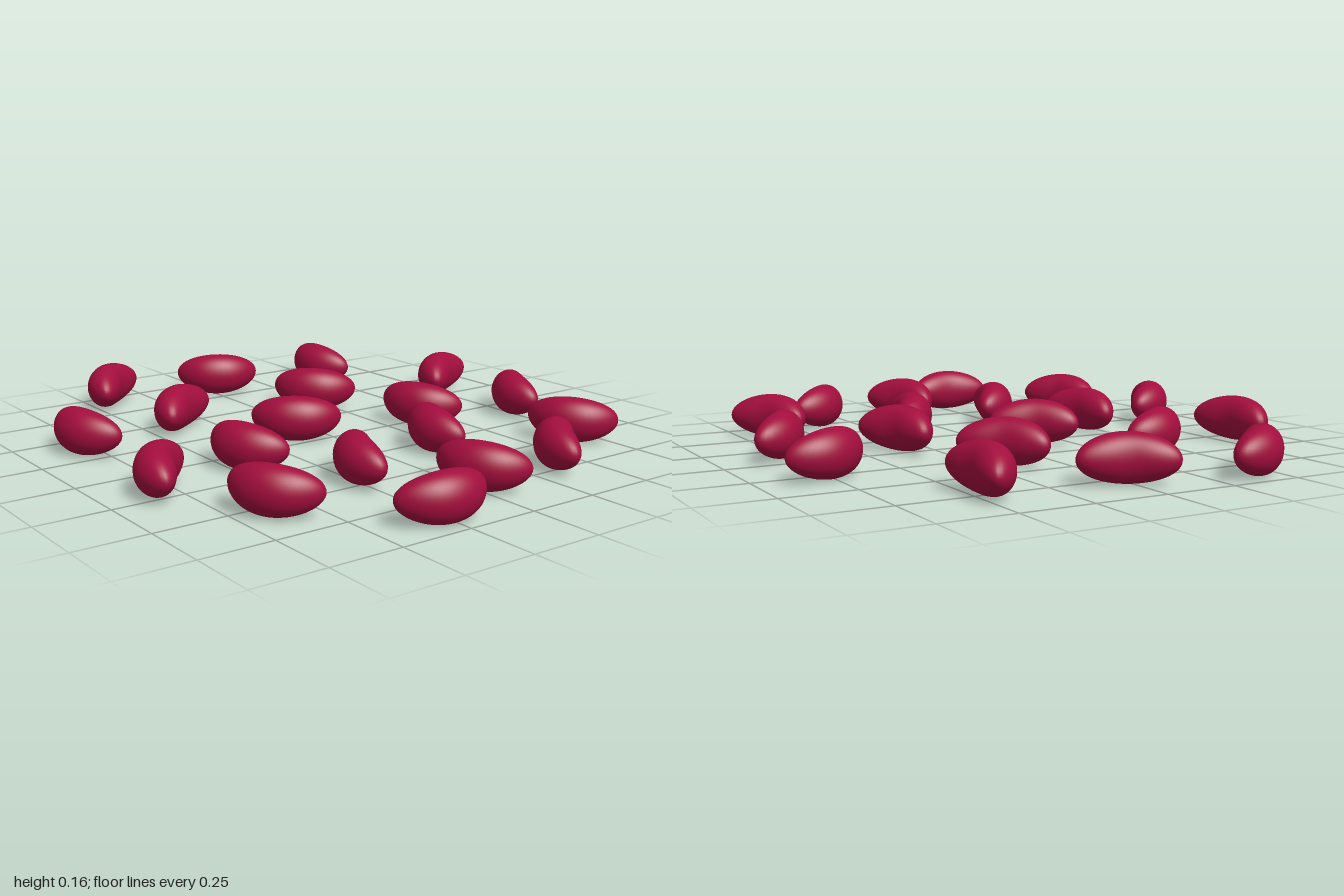
import * as THREE from 'three';
import { mergeVertices } from 'three/addons/utils/BufferGeometryUtils.js';

const LENGTH = 0.32, WIDTH = 0.146, HEIGHT = 0.16;

// Kidney bean: an ellipsoid bent toward -z, with a dimple on the hollow side
function beanGeometry() {
  let geo = new THREE.SphereGeometry(1, 40, 28);
  geo.deleteAttribute('uv');
  geo.deleteAttribute('normal');
  geo = mergeVertices(geo);
  const p = geo.attributes.position;
  for (let i = 0; i < p.count; i++) {
    const x = p.getX(i), y = p.getY(i), z = p.getZ(i);
    const mid = Math.exp(-((x / 0.35) ** 2));
    const dimple = z < 0 ? 0.01 * mid * z * z : -0.003 * mid * z * z;
    p.setXYZ(i, x * LENGTH / 2, y * HEIGHT / 2, z * WIDTH / 2 - 0.042 * x * x + dimple);
  }
  geo.computeVertexNormals();
  return geo;
}

// Middle of each bean on the ground (x, z) and its turn in degrees
const BEANS = [
  [-0.28, -0.77, -61], [0.14, -0.78, -30], [0.52, -0.66, 32], [0.74, -0.40, -40],
  [-0.75, -0.46, -1], [0.03, -0.37, 22], [-0.40, -0.20, 41], [0.34, -0.19, -18],
  [-0.835, -0.03, 61], [0.74, -0.02, 24], [-0.07, 0.11, 51], [0.475, 0.23, -24],
  [0.92, 0.27, 87], [-0.88, 0.41, -47], [-0.41, 0.37, -54], [0.125, 0.455, 15],
  [0.555, 0.63, 28], [-0.35, 0.805, 10], [0.21, 0.79, -36],
];

export function createModel() {
  const group = new THREE.Group();
  group.name = 'scatteredBeans';
  const geometry = beanGeometry();
  const material = new THREE.MeshStandardMaterial({ color: 0xa30e3e });
  const centre = new THREE.Vector3();

  BEANS.forEach(([x, z, turn], i) => {
    const bean = new THREE.Mesh(geometry, material);
    bean.name = `bean${i + 1}`;
    bean.rotation.y = THREE.MathUtils.degToRad(turn);
    // Place by the middle of the turned outline, resting on the ground
    new THREE.Box3().setFromObject(bean, true).getCenter(centre);
    bean.position.set(x - centre.x, HEIGHT / 2, z - centre.z);
    group.add(bean);
  });
  return group;
}
